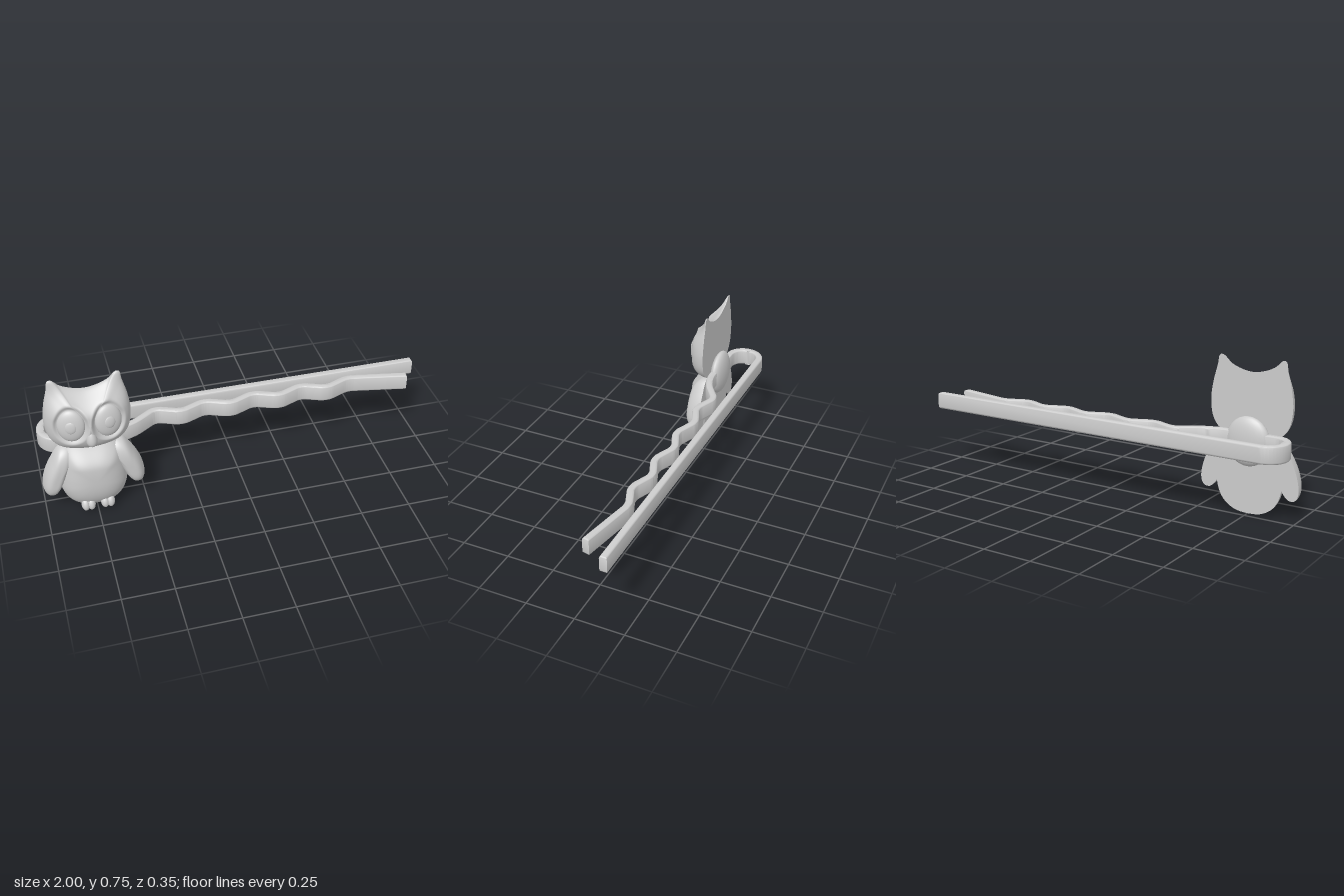
import * as THREE from 'three';
import { mergeGeometries, mergeVertices, toCreasedNormals } from 'three/addons/utils/BufferGeometryUtils.js';

const material = new THREE.MeshStandardMaterial({ color: 0xcccccc, roughness: 0.6 });
const BACK = 0.037; // plane of the owl's flat back
const smooth = THREE.MathUtils.smoothstep;

function addMesh(parent, name, geometry) {
  const mesh = new THREE.Mesh(geometry, material);
  mesh.name = name;
  parent.add(mesh);
  return mesh;
}

function ellipsoid(parent, name, position, radii, segments = 32) {
  const mesh = addMesh(parent, name, new THREE.SphereGeometry(1, segments, segments * 0.75));
  mesh.position.set(...position);
  mesh.scale.set(...radii);
  return mesh;
}

// Half an outline, from top to bottom on the +x side, completed by mirroring
function mirrored(half) {
  return [...half, ...half.slice(1, -1).reverse().map(([x, y]) => [-x, y])];
}

// Flat-backed relief: rings shrink from the outline to a centre, height(x, y, t) lifts them
function relief(points, [cx, cy], height, count = 120, rings = 32) {
  const curve = new THREE.CatmullRomCurve3(points.map(([x, y]) => new THREE.Vector3(x, y, 0)), true, 'centripetal');
  const outline = curve.getSpacedPoints(count).slice(0, count);
  if (THREE.ShapeUtils.isClockWise(outline)) outline.reverse();

  const positions = [], index = [];
  for (let j = 0; j <= rings; j++) {
    const t = Math.sin((j / rings) * Math.PI / 2);
    for (let i = 0; i < count; i++) {
      const x = cx + (outline[i].x - cx) * t, y = cy + (outline[i].y - cy) * t;
      positions.push(x, y, BACK + (j === rings ? 0 : height(x, y, t)));
      if (j === rings) continue;
      const a = j * count + i, b = j * count + (i + 1) % count;
      if (j > 0) index.push(a, b + count, b);
      index.push(a, a + count, b + count);
    }
  }
  let front = new THREE.BufferGeometry();
  front.setAttribute('position', new THREE.Float32BufferAttribute(positions, 3));
  front.setIndex(index);
  front = mergeVertices(front, 1e-6);
  front.computeVertexNormals();

  const back = new THREE.BufferGeometry();
  const backPoints = [cx, cy, BACK], normals = [0, 0, -1], backIndex = [];
  outline.forEach((p, i) => {
    backPoints.push(p.x, p.y, BACK);
    normals.push(0, 0, -1);
    backIndex.push(0, 1 + (i + 1) % count, 1 + i);
  });
  back.setAttribute('position', new THREE.Float32BufferAttribute(backPoints, 3));
  back.setAttribute('normal', new THREE.Float32BufferAttribute(normals, 3));
  back.setIndex(backIndex);
  return mergeGeometries([front, back]);
}

const dome = (t, power) => Math.sqrt(Math.max(0, 1 - t ** power));

function headHeight(x, y, t) {
  const ax = Math.abs(x);
  // thinner towards the ear tips
  let h = 0.115 * dome(t, 3) * (1 - 0.75 * smooth(y, 0.58, 0.74));
  // eye sockets
  const d = Math.hypot((ax - 0.088) / 0.07, (y - 0.54) / 0.088);
  h -= 0.022 * (1 - smooth(d, 0.9, 1.25)) * dome(t, 6);
  // brow ridge running from the beak up to the ears
  const ridge = ax - 0.012 - Math.max(0, y - 0.53) * 0.6;
  h += 0.009 * Math.exp(-((ridge / 0.025) ** 2)) * smooth(y, 0.45, 0.52) * (1 - smooth(y, 0.6, 0.7)) * smooth(d, 0.95, 1.25);
  return Math.max(h, 0.001);
}

function createOwl() {
  const owl = new THREE.Group();
  owl.name = 'owl';

  const head = mirrored([[0, 0.685], [0.06, 0.695], [0.115, 0.72], [0.15, 0.752], [0.167, 0.75], [0.178, 0.7],
    [0.198, 0.62], [0.208, 0.53], [0.195, 0.45], [0.165, 0.405], [0.13, 0.383], [0.06, 0.365], [0, 0.36]]);
  addMesh(owl, 'head', relief(head, [0, 0.53], headHeight, 180, 48));

  const body = mirrored([[0, 0.43], [0.09, 0.42], [0.135, 0.38], [0.15, 0.3], [0.165, 0.2], [0.163, 0.12],
    [0.13, 0.05], [0.07, 0.01], [0, 0.001]]);
  addMesh(owl, 'body', relief(body, [0, 0.2],
    (x, y, t) => 0.127 * dome(t, 2.5) * (1 - 0.4 * smooth(y, 0.28, 0.4))));

  // beak: narrows and sinks in towards the top
  const beak = new THREE.SphereGeometry(1, 32, 24);
  const p = beak.attributes.position;
  for (let i = 0; i < p.count; i++) {
    const taper = 1 - 0.3 * p.getY(i);
    p.setXYZ(i, p.getX(i) * 0.026 * taper, p.getY(i) * 0.047, p.getZ(i) * 0.03 * taper);
  }
  beak.computeVertexNormals();
  addMesh(owl, 'beak', beak).position.set(0, 0.465, 0.142);

  const wing = [[0.1, 0.375], [0.15, 0.375], [0.2, 0.31], [0.24, 0.22], [0.252, 0.14], [0.237, 0.105],
    [0.205, 0.1], [0.17, 0.135], [0.14, 0.2], [0.11, 0.28], [0.09, 0.34]];
  for (const side of [1, -1]) {
    const label = side > 0 ? 'left' : 'right';
    addMesh(owl, label + 'Wing', relief(wing.map(([x, y]) => [x * side, y]), [0.185 * side, 0.2],
      (x, y, t) => 0.088 * dome(t, 3.5)));

    const eye = new THREE.Group();
    eye.name = label + 'Eye';
    eye.position.set(0.088 * side, 0.54, 0.121);
    eye.rotation.set(-0.12, 0.2 * side, 0);
    ellipsoid(eye, label + 'Eyeball', [0, 0, 0], [0.066, 0.083, 0.028]);
    ellipsoid(eye, label + 'Pupil', [0, 0, 0.023], [0.027, 0.032, 0.009]);
    owl.add(eye);

    // each foot has two toes
    for (const toe of [-1, 1]) {
      const mesh = ellipsoid(owl, label + 'Toe', [(0.048 + toe * 0.014) * side, 0.05, 0.127], [0.021, 0.034, 0.024], 20);
      mesh.rotation.x = -0.5;
    }
  }
  owl.position.x = -0.75;
  return owl;
}

// Polyline in (x, z) with rounded corners; the third value is the corner radius
function roundedPath(points) {
  const v = points.map(([x, z]) => new THREE.Vector2(x, z));
  const path = new THREE.Path().moveTo(v[0].x, v[0].y);
  for (let i = 1; i < v.length - 1; i++) {
    const toward = (q) => v[i].clone().add(q.clone().sub(v[i]).setLength(points[i][2]));
    const a = toward(v[i - 1]), b = toward(v[i + 1]);
    path.lineTo(a.x, a.y);
    // cubic handles approximate a circular corner
    const c1 = a.clone().lerp(v[i], 0.56), c2 = b.clone().lerp(v[i], 0.56);
    path.bezierCurveTo(c1.x, c1.y, c2.x, c2.y, b.x, b.y);
  }
  const last = v[v.length - 1];
  path.lineTo(last.x, last.y);
  return path.getPoints(10);
}

function createPin() {
  const route = [[0.995, -0.155], [-0.975, -0.155, 0.085], [-0.975, 0.016, 0.085], [-0.56, 0.016, 0.08]];
  for (let i = 0; i < 9; i++) route.push([-0.405 + i * 0.127, i % 2 ? -0.038 : -0.09, 0.035]);
  route.push([0.918, -0.03]);
  const line = roundedPath(route);

  // thicken the centreline into a closed ribbon
  const half = 0.019, left = [], right = [];
  line.forEach((p, i) => {
    const before = line[Math.max(i - 1, 0)], after = line[Math.min(i + 1, line.length - 1)];
    const dir = after.clone().sub(before).normalize();
    left.push(new THREE.Vector2(p.x - dir.y * half, -(p.y + dir.x * half)));
    right.push(new THREE.Vector2(p.x + dir.y * half, -(p.y - dir.x * half)));
  });
  const bevel = 0.011;
  const geometry = new THREE.ExtrudeGeometry(new THREE.Shape([...left, ...right.reverse()]), {
    depth: 0.087 - 2 * bevel, bevelEnabled: true, bevelThickness: bevel,
    bevelSize: bevel, bevelOffset: -bevel, bevelSegments: 4,
  });
  geometry.rotateX(-Math.PI / 2);
  geometry.translate(0, 0.319 + bevel, 0);
  geometry.deleteAttribute('uv');
  return toCreasedNormals(geometry, 0.6);
}

export function createModel() {
  const model = new THREE.Group();
  model.name = 'owlHairpin';
  model.add(createOwl());
  addMesh(model, 'hairpin', createPin());
  // dab of glue holding the owl to the pin
  ellipsoid(model, 'glueDab', [-0.75, 0.36, 0.015], [0.112, 0.12, 0.04], 20);
  return model;
}
